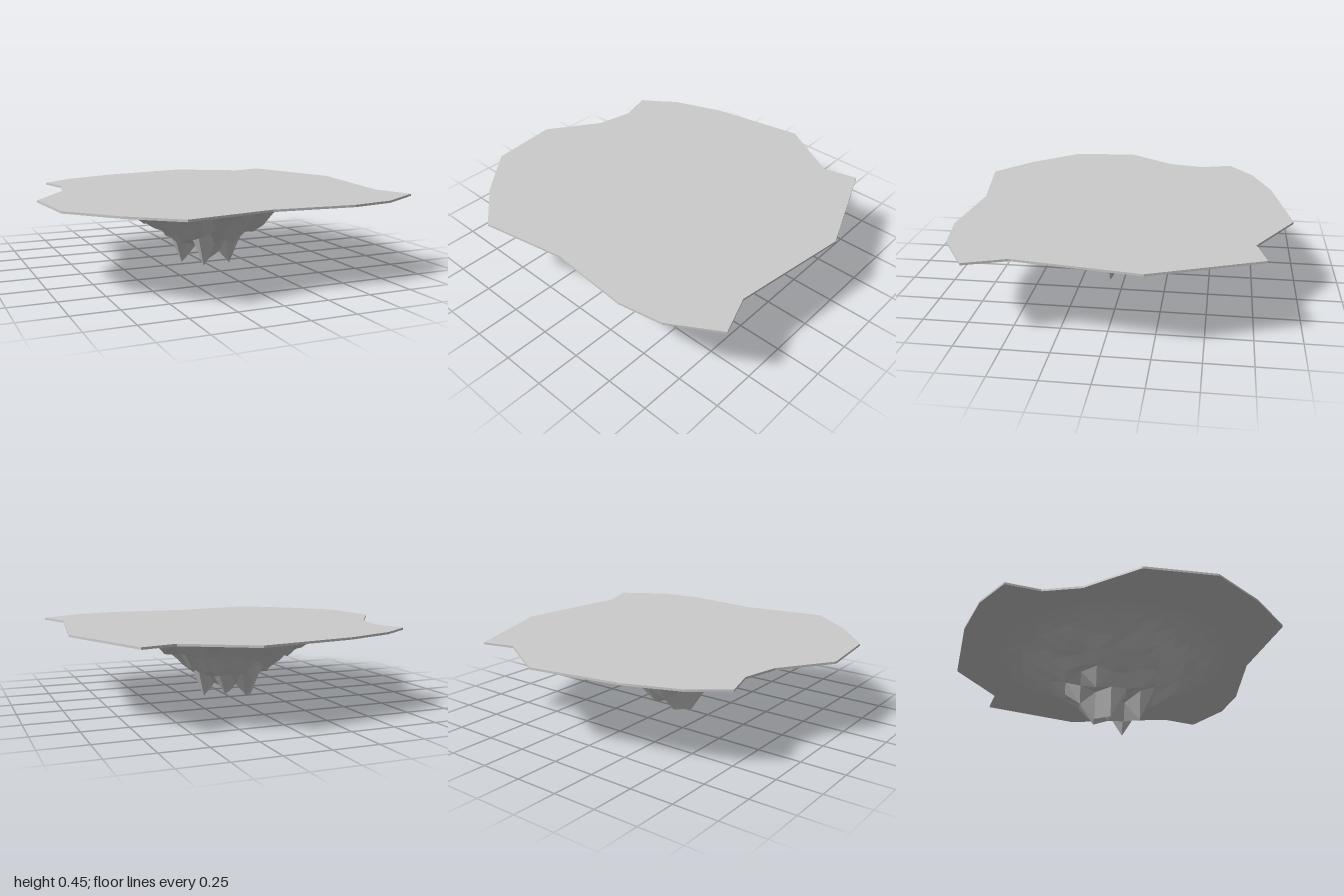
import * as THREE from 'three';

const TOP = 0.45, BOTTOM = 0.438;

// Irregular rim of the slab, as x, z pairs
const RIM = [
  [-0.33, -0.85], [0.21, -0.95], [0.57, -0.74], [0.76, -0.79], [0.99, -0.21], [0.9, 0.46],
  [0.98, 0.68], [0.72, 0.84], [0.47, 0.885], [0.01, 0.85], [-0.48, 0.94], [-0.73, 0.74],
  [-0.96, 0.48], [-1, 0.09], [-0.8, -0.2], [-0.755, -0.41], [-0.81, -0.6], [-0.62, -0.74],
];

// Depth of the rock below the slab, as radius, depth pairs
const PROFILE = [[0, 0.41], [0.14, 0.4], [0.2, 0.34], [0.25, 0.285], [0.35, 0.205], [0.45, 0.125],
  [0.55, 0.05], [0.63, 0.015], [0.69, 0]];

// Hanging tips: grid column, grid row, height
const TIPS = [[2, 1, 0], [-2, 0, 0.01], [-1, 2, 0.02], [-1, -1, 0.02], [1, -1, 0.04], [0, 0, 0.04]];

function depthAt(r) {
  for (let i = 1; i < PROFILE.length; i++) {
    const [r0, d0] = PROFILE[i - 1], [r1, d1] = PROFILE[i];
    if (r <= r1) return d0 + (d1 - d0) * (r - r0) / (r1 - r0);
  }
  return 0;
}

// Seeded value between 0 and 1 for a grid point
function hash(i, j) {
  const s = Math.sin(i * 127.1 + j * 311.7 + 4.3) * 43758.5453;
  return s - Math.floor(s);
}

function rockGeometry() {
  const NX = 10, NZ = 8, DX = 0.068, DZ = 0.0875;
  const positions = [], index = [], row = 2 * NX + 1;
  for (let j = -NZ; j <= NZ; j++) {
    for (let i = -NX; i <= NX; i++) {
      const x = i * DX, z = j * DZ - 0.0075;
      const depth = depthAt(Math.hypot(x, z - 0.02));
      const tip = TIPS.find(t => t[0] === i && t[1] === j);
      const y = tip ? tip[2] : 0.442 - depth * (0.72 + 0.3 * hash(i, j));
      positions.push(x, y, z);
    }
  }
  for (let j = 0; j < 2 * NZ; j++) {
    for (let i = 0; i < 2 * NX; i++) {
      const a = j * row + i, b = a + 1, c = a + row, d = c + 1;
      // Leave out cells that lie flat inside the slab
      if ([a, b, c, d].every(v => positions[v * 3 + 1] > 0.4415)) continue;
      index.push(a, b, c, b, d, c);
    }
  }
  const geometry = new THREE.BufferGeometry();
  geometry.setAttribute('position', new THREE.Float32BufferAttribute(positions, 3));
  geometry.setIndex(index);
  geometry.computeVertexNormals();
  return geometry;
}

export function createModel() {
  const group = new THREE.Group();
  group.name = 'floatingIsland';
  const material = new THREE.MeshStandardMaterial({ color: 0xcccccc, flatShading: true });

  // Thin flat slab on top
  const shape = new THREE.Shape(RIM.map(([x, z]) => new THREE.Vector2(x, z)));
  const slabGeometry = new THREE.ExtrudeGeometry(shape, { depth: TOP - BOTTOM, bevelEnabled: false });
  slabGeometry.rotateX(Math.PI / 2).translate(0, TOP, 0);
  const slab = new THREE.Mesh(slabGeometry, material);
  slab.name = 'topSlab';

  // Faceted rock hanging below
  const rock = new THREE.Mesh(rockGeometry(), material);
  rock.name = 'hangingRock';

  group.add(slab, rock);
  return group;
}
